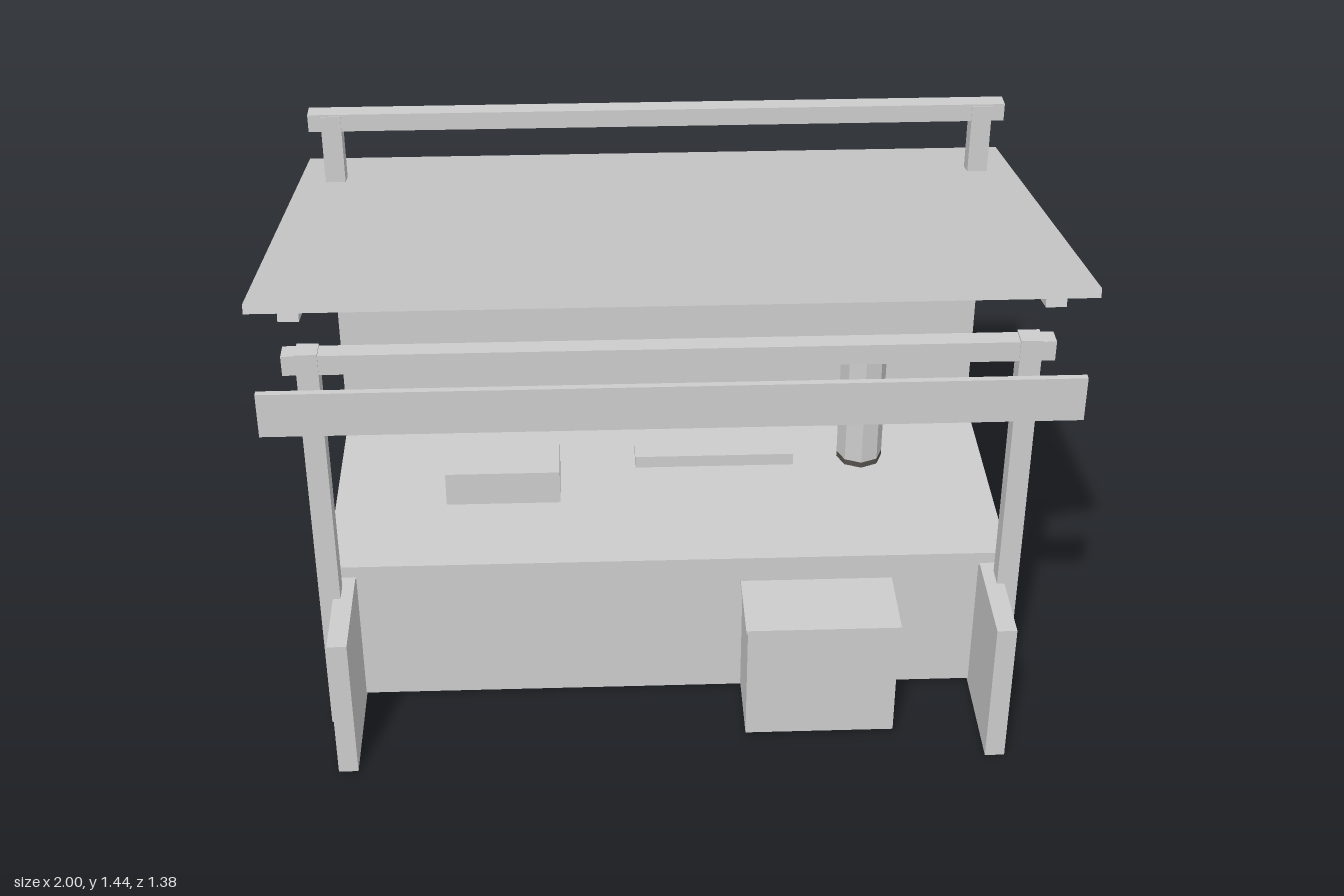
import * as THREE from 'three';

export function createModel() {
  const root = new THREE.Group();
  root.name = 'marketStall';

  const paleGrey = new THREE.MeshStandardMaterial({ color: 0xcccccc });
  paleGrey.name = 'paleGrey';
  const darkGrey = new THREE.MeshStandardMaterial({ color: 0x54514b });
  darkGrey.name = 'darkGrey';

  // Box given by its extents on each axis
  function box(name, [x0, x1], [y0, y1], [z0, z1], material = paleGrey, parent = root) {
    const mesh = new THREE.Mesh(new THREE.BoxGeometry(x1 - x0, y1 - y0, z1 - z0), material);
    mesh.position.set((x0 + x1) / 2, (y0 + y1) / 2, (z0 + z1) / 2);
    mesh.name = name;
    parent.add(mesh);
    return mesh;
  }

  // Extents mirrored to the left (+1) or right (-1) side
  const side = (s, a, b) => (s > 0 ? [a, b] : [-b, -a]);

  // Posts and side wings
  for (const s of [1, -1]) {
    const label = s > 0 ? 'left' : 'right';
    box(label + 'FrontPost', side(s, 0.87, 0.925), [0, 1.175], [0.417, 0.473]);
    box(label + 'BackPost', side(s, 0.87, 0.925), [0, 1.395], [-0.473, -0.417]);
    box(label + 'Wing', side(s, 0.838, 0.89), [0, 0.422], [-0.04, 0.675]);
  }

  // Cross beams on the posts
  box('frontBeam', [-0.96, 0.96], [1.115, 1.17], [0.42, 0.47]);
  box('backBeam', [-0.96, 0.96], [1.35, 1.4], [-0.47, -0.42]);

  // Sloping roof with a rafter under each end
  const roof = new THREE.Group();
  roof.name = 'roof';
  roof.position.set(0, 1.277, -0.002);
  roof.rotation.x = -0.22;
  root.add(roof);
  box('roofBoard', [-1, 1], [-0.012, 0.012], [-0.703, 0.703], paleGrey, roof);
  for (const s of [1, -1]) {
    box('rafter', side(s, 0.875, 0.925), [-0.04, -0.012], [-0.68, 0.68], paleGrey, roof);
  }

  // Fascia board at the front
  box('fascia', [-1, 1], [1.06, 1.18], [0.643, 0.66]);

  // Back wall, dark on its rear face only
  box('backWall', [-0.905, 0.905], [0.295, 1.147], [-0.417, -0.405],
    [paleGrey, paleGrey, paleGrey, paleGrey, paleGrey, darkGrey]);

  // Counter and its front panel
  box('counterTop', [-0.912, 0.912], [0.415, 0.455], [-0.378, 0.38]);
  box('counterFront', [-0.9, 0.9], [0.012, 0.415], [0.315, 0.367]);

  // Crate on the ground with a thin lid
  box('crate', [0.2, 0.6], [0.018, 0.36], [0.31, 0.58]);
  box('crateLid', [0.195, 0.605], [0.36, 0.37], [0.306, 0.585]);

  // Goods on the counter
  box('smallBox', [-0.605, -0.29], [0.455, 0.555], [-0.045, 0.1]);
  box('bar', [-0.08, 0.36], [0.525, 0.56], [-0.042, 0.04]);

  // Eight-sided canister with a dark foot
  function drum(name, y0, y1, material) {
    const geometry = new THREE.CylinderGeometry(0.064, 0.064, y1 - y0, 8).toNonIndexed();
    geometry.computeVertexNormals();
    const mesh = new THREE.Mesh(geometry, material);
    mesh.position.set(0.563, (y0 + y1) / 2, -0.102);
    mesh.name = name;
    root.add(mesh);
  }
  drum('canister', 0.472, 0.812, paleGrey);
  drum('canisterFoot', 0.455, 0.472, darkGrey);

  return root;
}
